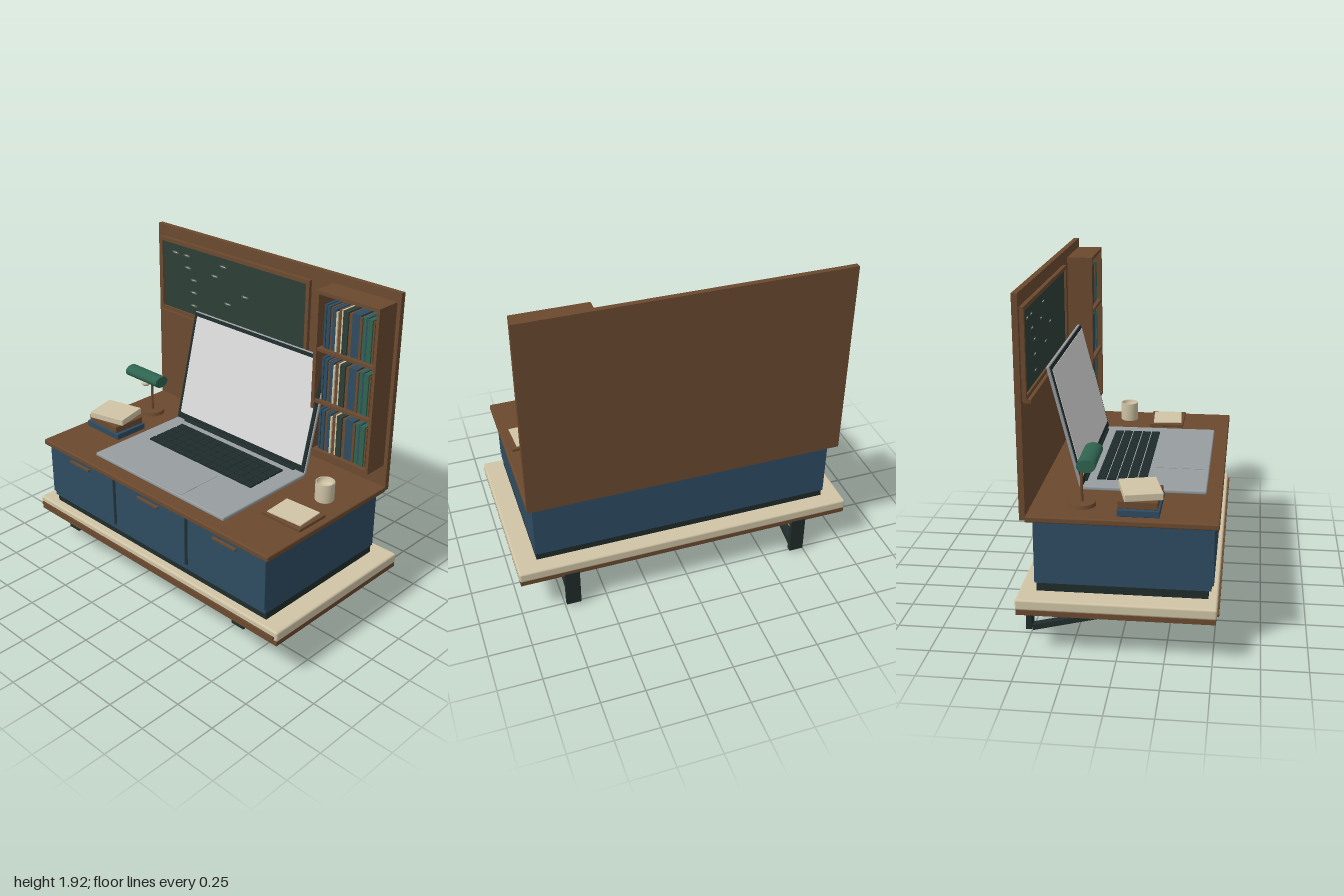
import * as THREE from 'three';
import { RoundedBoxGeometry } from 'three/addons/geometries/RoundedBoxGeometry.js';

const COLORS = {
  walnut: 0x6b4a2f, navy: 0x2e4c62, cream: 0xd0c4a6, darkMetal: 0x1f2c2b, chalkGreen: 0x2e3e37,
  lampGreen: 0x2f6350, aluminium: 0x979da0, screenGrey: 0xd8d8d8, chalkDust: 0x56625c,
};
const M = {};
for (const [name, color] of Object.entries(COLORS)) {
  M[name] = new THREE.MeshStandardMaterial({ color });
  M[name].name = name;
}
M.cream.side = THREE.DoubleSide;

function add(parent, name, geometry, material, x = 0, y = 0, z = 0) {
  const mesh = new THREE.Mesh(geometry, material);
  mesh.name = name;
  mesh.position.set(x, y, z);
  parent.add(mesh);
  return mesh;
}

// Box given by its limits on each axis; r rounds the edges
function slab(parent, name, material, x0, x1, y0, y1, z0, z1, r = 0) {
  const size = [x1 - x0, y1 - y0, z1 - z0];
  const geometry = r ? new RoundedBoxGeometry(...size, 2, r) : new THREE.BoxGeometry(...size);
  return add(parent, name, geometry, material, (x0 + x1) / 2, (y0 + y1) / 2, (z0 + z1) / 2);
}

function group(parent, name, x = 0, y = 0, z = 0) {
  const g = new THREE.Group();
  g.name = name;
  g.position.set(x, y, z);
  parent.add(g);
  return g;
}

function buildShelfAndBrackets(root) {
  slab(root, 'wallShelf', M.cream, -1, 1, 0.268, 0.328, -0.53, 0.52, 0.012);
  slab(root, 'shelfUnderside', M.walnut, -0.995, 0.995, 0.24, 0.268, -0.525, 0.515);
  slab(root, 'shelfTrim', M.walnut, -0.98, 0.98, 0.28, 0.296, 0.515, 0.53);
  for (const x of [-0.7, 0.7]) {
    const b = group(root, 'bracket', x);
    slab(b, 'bracketPost', M.darkMetal, -0.043, 0.043, 0.018, 0.25, -0.53, -0.5);
    slab(b, 'bracketArm', M.darkMetal, -0.043, 0.043, 0.205, 0.24, -0.52, 0.5);
    const dz = 0.8, dy = 0.198;
    const brace = add(b, 'bracketBrace', new THREE.BoxGeometry(0.045, 0.03, Math.hypot(dz, dy)),
      M.darkMetal, 0, 0.115, -0.1);
    brace.rotation.x = -Math.atan2(dy, dz);
  }
}

function buildCabinet(root) {
  slab(root, 'plinth', M.darkMetal, -0.88, 0.88, 0.328, 0.38, -0.435, 0.47);
  slab(root, 'cabinetBody', M.navy, -0.885, 0.885, 0.375, 0.73, -0.445, 0.485);
  // Shadow gaps, drawer fronts and pulls
  slab(root, 'drawerGap', M.darkMetal, -0.885, 0.885, 0.405, 0.725, 0.485, 0.488);
  for (const x of [-0.6, 0, 0.6]) {
    slab(root, 'drawerFront', M.navy, x - 0.288, x + 0.288, 0.405, 0.714, 0.485, 0.497, 0.004);
    slab(root, 'drawerRecess', M.darkMetal, x - 0.08, x + 0.08, 0.68, 0.692, 0.495, 0.5);
    slab(root, 'drawerPull', M.walnut, x - 0.085, x + 0.085, 0.688, 0.699, 0.495, 0.512);
  }
  slab(root, 'deskTop', M.walnut, -0.92, 0.92, 0.73, 0.764, -0.48, 0.52, 0.008);
  slab(root, 'backPanel', M.walnut, -0.92, 0.92, 0.742, 1.918, -0.506, -0.475);
}

function buildChalkboard(root) {
  const c = group(root, 'chalkboard');
  slab(c, 'chalkSurface', M.chalkGreen, -0.87, 0.3, 1.39, 1.825, -0.475, -0.465);
  for (const [y0, y1] of [[1.373, 1.395], [1.822, 1.846]])
    slab(c, 'boardRail', M.walnut, -0.89, 0.323, y0, y1, -0.475, -0.453);
  for (const [x0, x1] of [[-0.89, -0.866], [0.299, 0.323]])
    slab(c, 'boardStile', M.walnut, x0, x1, 1.395, 1.822, -0.475, -0.453);
  slab(c, 'chalkTray', M.walnut, -0.87, 0.3, 1.355, 1.373, -0.475, -0.435);
  // Faint chalk traces: dusty smudges with short strokes
  const marks = [[-0.76, 1.765], [-0.66, 1.765], [-0.35, 1.765], [-0.65, 1.69], [-0.42, 1.69],
    [-0.6, 1.62], [-0.17, 1.62], [-0.6, 1.54], [-0.31, 1.54], [-0.6, 1.455]];
  marks.forEach(([x, y], i) => {
    const smudge = add(c, 'chalkSmudge', new THREE.CircleGeometry(0.03, 16), M.chalkDust, x, y, -0.4635);
    smudge.scale.y = 0.3;
    slab(c, 'chalkStroke', M.cream, x - 0.015, x + 0.015, y - 0.002, y + 0.002, -0.464, -0.462);
  });
}

function buildBookcase(root) {
  const c = group(root, 'bookcase');
  slab(c, 'bookcaseSide', M.walnut, 0.475, 0.497, 0.895, 1.865, -0.475, -0.325);
  slab(c, 'bookcaseSide', M.walnut, 0.878, 0.897, 0.895, 1.865, -0.475, -0.325);
  slab(c, 'bookcaseTop', M.walnut, 0.497, 0.878, 1.845, 1.865, -0.475, -0.325);
  // Book spines as [width, material, height]
  const spines = [[16, 'navy', 1], [8, 'darkMetal', 0.96], [22, 'navy', 1], [14, 'walnut', 0.98], [26, 'navy', 0.97],
    [12, 'cream', 0.92], [22, 'walnut', 0.98], [12, 'cream', 1], [36, 'chalkGreen', 1], [22, 'walnut', 0.97],
    [54, 'navy', 1], [16, 'walnut', 0.96], [22, 'lampGreen', 0.98], [14, 'navy', 1], [30, 'lampGreen', 0.98],
    [10, 'walnut', 0.95]];
  for (const y of [0.912, 1.225, 1.536]) {
    slab(c, 'bookcaseShelf', M.walnut, 0.497, 0.878, y - 0.018, y, -0.475, -0.328);
    let x = 0.515;
    spines.forEach(([w, mat, h], i) => {
      const width = w / 1000;
      slab(c, 'book', M[mat], x, x + width - 0.001, y, y + 0.25 * h, -0.47, -0.358 + (i % 3) * 0.004);
      x += width;
    });
  }
}

function buildLaptop(root) {
  const l = group(root, 'laptop');
  slab(l, 'laptopBase', M.aluminium, -0.528, 0.525, 0.765, 0.788, -0.245, 0.435, 0.008);
  slab(l, 'trackpad', M.aluminium, -0.2, 0.19, 0.787, 0.79, 0.125, 0.425);
  for (let row = 0; row < 5; row++)
    for (let col = 0; col < 14; col++) {
      const x = -0.418 + col * 0.0596, z = -0.175 + row * 0.0565;
      slab(l, 'key', M.darkMetal, x, x + 0.057, 0.786, 0.798, z, z + 0.048);
    }
  add(l, 'hinge', new THREE.CylinderGeometry(0.012, 0.012, 0.9, 16), M.darkMetal, 0, 0.79, -0.237)
    .rotation.z = Math.PI / 2;
  // Tilted lid
  const lid = group(l, 'lid', 0, 0.785, -0.235);
  lid.rotation.x = -0.245;
  slab(lid, 'lidShell', M.aluminium, -0.528, 0.525, 0, 0.692, -0.022, -0.004, 0.006);
  slab(lid, 'bezel', M.darkMetal, -0.521, 0.517, 0.008, 0.686, -0.006, 0.002);
  slab(lid, 'screen', M.screenGrey, -0.5, 0.495, 0.046, 0.665, 0, 0.005);
}

function buildLamp(root) {
  const l = group(root, 'deskLamp', -0.73, 0.764, -0.21);
  add(l, 'lampBase', new THREE.CylinderGeometry(0.07, 0.075, 0.02, 32), M.walnut, 0, 0.01, 0);
  const path = new THREE.CatmullRomCurve3([[0, 0.01, 0], [0, 0.14, 0], [0.003, 0.21, 0.005], [0, 0.245, 0.045]]
    .map(p => new THREE.Vector3(...p)));
  add(l, 'lampStem', new THREE.TubeGeometry(path, 20, 0.008, 10), M.walnut);
  const shade = add(l, 'lampShade', new THREE.CylinderGeometry(0.05, 0.05, 0.28, 32), M.lampGreen, 0, 0.266, 0.045);
  shade.rotation.z = Math.PI / 2;
  shade.scale.x = 0.7;
  const bulb = add(l, 'lampBulb', new THREE.SphereGeometry(0.03, 20, 14), M.cream, 0, 0.22, 0.05);
  bulb.scale.y = 0.65;
}

function buildDeskItems(root) {
  // Stack of books
  const s = group(root, 'bookStack', -0.728, 0.764, 0.1);
  slab(s, 'lowerBook', M.navy, -0.143, 0.143, 0, 0.038, -0.11, 0.112, 0.004);
  slab(s, 'middleBook', M.walnut, -0.127, 0.127, 0.038, 0.08, -0.105, 0.105, 0.004).rotation.y = -0.03;
  slab(s, 'upperBook', M.cream, -0.12, 0.12, 0.08, 0.12, -0.102, 0.102, 0.004).rotation.y = 0.25;
  // Notebook with a loose page
  const n = group(root, 'notebook', 0.75, 0.764, 0.122);
  slab(n, 'notebookCover', M.walnut, -0.136, 0.136, 0, 0.02, -0.108, 0.108, 0.004);
  slab(n, 'notebookPage', M.cream, -0.112, 0.112, 0.019, 0.026, -0.088, 0.088).rotation.y = 0.06;
  // Hollow mug
  const profile = [[0, 0], [0.05, 0], [0.055, 0.006], [0.055, 0.114], [0.052, 0.117], [0.046, 0.114],
    [0.044, 0.08], [0, 0.08]].map(p => new THREE.Vector2(...p));
  add(root, 'mug', new THREE.LatheGeometry(profile, 32), M.cream, 0.76, 0.764, -0.13);
}

export function createModel() {
  const root = new THREE.Group();
  root.name = 'wallDesk';
  buildShelfAndBrackets(root);
  buildCabinet(root);
  buildChalkboard(root);
  buildBookcase(root);
  buildLaptop(root);
  buildLamp(root);
  buildDeskItems(root);
  return root;
}
